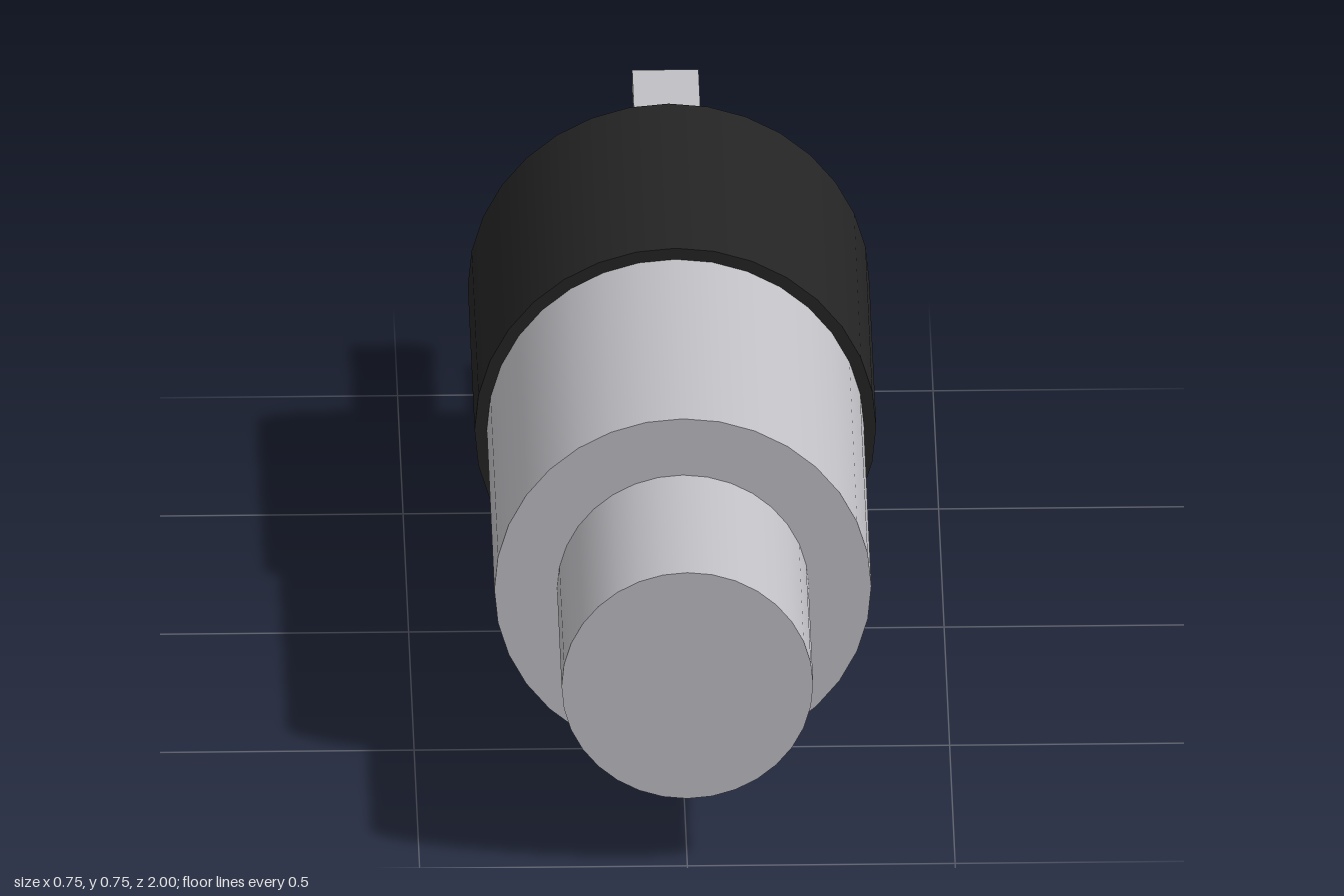
import * as THREE from 'three';

const AXIS_Y = 0.375;

export function createModel() {
  const group = new THREE.Group();
  const metal = new THREE.MeshStandardMaterial({ color: 0xc0bfc4 });
  metal.name = 'light grey metal';
  const plastic = new THREE.MeshStandardMaterial({ color: 0x242424 });
  plastic.name = 'black plastic';

  // Cylinder lying along z, between two z positions
  const barrel = (name, radius, zBack, zFront, material) => {
    const geometry = new THREE.CylinderGeometry(radius, radius, zFront - zBack, 32);
    geometry.rotateX(Math.PI / 2);
    const mesh = new THREE.Mesh(geometry, material);
    mesh.name = name;
    mesh.position.set(0, AXIS_Y, (zBack + zFront) / 2);
    group.add(mesh);
  };

  // Stepped body
  barrel('shaft', 0.235, 0.587, 1, metal);
  barrel('metalBody', 0.352, -0.088, 0.587, metal);
  barrel('rearHousing', 0.375, -0.7, -0.088, plastic);

  // Three flat terminals in a vertical row at the back
  for (const [i, offset] of [0.278, 0, -0.278].entries()) {
    const pin = new THREE.Mesh(new THREE.BoxGeometry(0.124, 0.04, 0.3), metal);
    pin.name = `terminalPin${i + 1}`;
    pin.position.set(0, AXIS_Y + offset, -0.85);
    group.add(pin);
  }

  return group;
}
